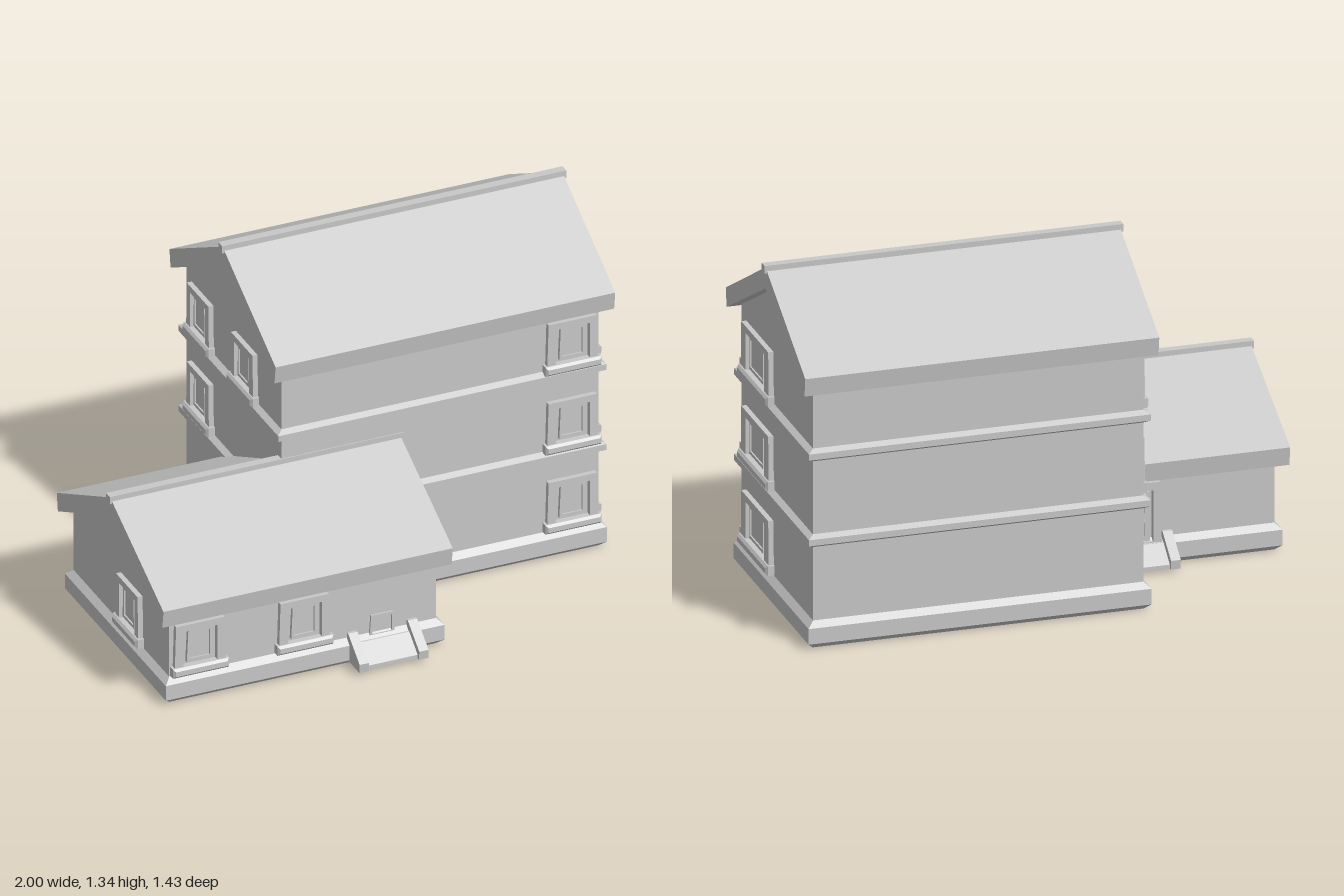
import * as THREE from 'three';

const plaster = new THREE.MeshStandardMaterial({ color: 0xc8c8c8 });
plaster.name = 'grey plaster';

function add(parent, name, geometry, x = 0, y = 0, z = 0) {
  const mesh = new THREE.Mesh(geometry, plaster);
  mesh.name = name;
  mesh.position.set(x, y, z);
  parent.add(mesh);
  return mesh;
}

const polygon = (points) => new THREE.Shape(points.map(([a, b]) => new THREE.Vector2(a, b)));

// Profile given as [z, y] pairs, swept along x from x0 to x1
function sweepX(points, x0, x1) {
  const g = new THREE.ExtrudeGeometry(polygon(points), { depth: x1 - x0, bevelEnabled: false });
  return g.rotateY(-Math.PI / 2).translate(x1, 0, 0);
}

// Chamfered slab around a rectangular plan
function band(b, y0, y1, out, chamfer) {
  const plan = polygon([[b.x0, -b.z1], [b.x1, -b.z1], [b.x1, -b.z0], [b.x0, -b.z0]]);
  const g = new THREE.ExtrudeGeometry(plan, {
    depth: y1 - y0 - 2 * chamfer, bevelThickness: chamfer, bevelSize: out, bevelSegments: 1,
  });
  return g.rotateX(-Math.PI / 2).translate(0, y0 + chamfer, 0);
}

// Rectangular ring standing in the xy plane, from z = 0 forwards
function ring(w, h, innerW, innerH, innerY, depth) {
  const s = polygon([[-w / 2, 0], [w / 2, 0], [w / 2 - 0.006, h], [-w / 2 + 0.006, h]]);
  const a = innerW / 2;
  s.holes.push(new THREE.Path([[-a, innerY], [-a, innerY + innerH], [a, innerY + innerH], [a, innerY]]
    .map(([x, y]) => new THREE.Vector2(x, y))));
  return new THREE.ExtrudeGeometry(s, { depth, bevelEnabled: false });
}

// Window facing +z with its lower edge at the origin
function makeWindow(w) {
  const g = new THREE.Group();
  g.name = 'window';
  add(g, 'windowFrame', ring(w, 0.21, w * 0.66, 0.145, 0.038, 0.02));
  add(g, 'windowSash', ring(w * 0.5, 0.13, w * 0.5 - 0.022, 0.106, 0.012, 0.014), 0, 0.052, 0);
  add(g, 'windowPane', new THREE.BoxGeometry(w * 0.5 - 0.02, 0.11, 0.008), 0, 0.117, 0.004);
  const sill = new THREE.ExtrudeGeometry(
    polygon([[-w / 2, 0.01], [w / 2, 0.01], [w / 2, 0.03], [-w / 2, 0.03]]),
    { depth: 0.025, bevelThickness: 0.009, bevelSize: 0.009, bevelSegments: 1 });
  add(g, 'windowSill', sill);
  return g;
}

// Short sloping steps facing +z between two cheek walls
function makeSteps() {
  const g = new THREE.Group();
  g.name = 'entranceSteps';
  const cheek = [[-0.01, 0.015], [0.112, 0.015], [0.115, 0.05], [0.012, 0.127], [-0.01, 0.127]];
  add(g, 'rightCheek', sweepX(cheek, -0.137, -0.1));
  add(g, 'leftCheek', sweepX(cheek, 0.1, 0.137));
  add(g, 'stepRamp', sweepX([[-0.01, 0.015], [0.1, 0.015], [0.1, 0.03], [0.025, 0.088], [-0.01, 0.088]], -0.1, 0.1));
  return g;
}

// Wing with gabled walls, plinth, overhanging roof and ridge cap
function makeWing(name, b) {
  const g = new THREE.Group();
  g.name = name;
  const mid = (b.z0 + b.z1) / 2;
  const half = (b.z1 - b.z0) / 2;
  const slope = (b.under - b.eave) / (half + 0.04);
  const shoulder = b.under - slope * half;
  add(g, 'walls', sweepX([[b.z0, 0.01], [b.z1, 0.01], [b.z1, shoulder], [mid, b.under], [b.z0, shoulder]], b.x0, b.x1));
  add(g, 'plinth', band(b, 0, 0.105, 0.024, 0.022));
  const e = half + 0.04;
  add(g, 'roof', sweepX([
    [mid - e, b.eave], [mid, b.under], [mid + e, b.eave],
    [mid + e + 0.01, b.eave + 0.072], [mid, b.ridge], [mid - e - 0.01, b.eave + 0.072],
  ], b.x0 - 0.045, b.x1 + 0.045));
  add(g, 'ridgeCap', new THREE.BoxGeometry(b.x1 - b.x0 + 0.108, 0.03, 0.034),
    (b.x0 + b.x1) / 2, b.ridge - 0.003, mid);
  return g;
}

export function createModel() {
  const house = new THREE.Group();
  house.name = 'house';

  const tall = { x0: -0.32, x1: 0.94, z0: -0.66, z1: 0.19, eave: 1.0, under: 1.247, ridge: 1.33 };
  const low = { x0: -0.95, x1: 0.11, z0: -0.25, z1: 0.605, eave: 0.34, under: 0.565, ridge: 0.642 };
  const tower = makeWing('mainBlock', tall);
  const annex = makeWing('annex', low);
  house.add(tower, annex);

  // Storey bands
  add(tower, 'lowerBand', band(tall, 0.392, 0.442, 0.022, 0.013));
  add(tower, 'upperBand', band(tall, 0.727, 0.777, 0.022, 0.013));

  const place = (parent, part, x, y, z, turn) => {
    part.position.set(x, y, z);
    part.rotation.y = turn;
    parent.add(part);
  };
  const right = Math.PI / 2;

  // Corner windows on each floor
  for (let floor = 0; floor < 3; floor++) {
    const y = 0.107 + floor * 0.33;
    place(tower, makeWindow(0.335), tall.x1, y, -0.027, right);
    place(tower, makeWindow(0.205), 0.83, y, tall.z1, 0);
  }
  // Windows on the side above the annex
  for (const [y, z] of [[0.437, -0.515], [0.767, -0.515], [0.767, -0.12]]) {
    place(tower, makeWindow(0.205), tall.x0, y, z, -right);
  }
  // Annex windows
  for (const x of [-0.835, -0.42]) place(annex, makeWindow(0.205), x, 0.107, low.z1, 0);
  place(annex, makeWindow(0.205), low.x0, 0.107, 0.27, -right);

  // Front entrance
  place(annex, makeSteps(), -0.107, 0, low.z1, 0);
  add(annex, 'frontDoorPanel', ring(0.1, 0.088, 0.076, 0.066, 0.01, 0.008), -0.107, 0.09, low.z1);

  // Back entrance
  place(annex, makeSteps(), -0.42, 0, low.z0, Math.PI);
  const door = new THREE.Group();
  door.name = 'backDoor';
  add(door, 'doorFrame', ring(0.19, 0.235, 0.125, 0.2, 0.004, 0.02));
  add(door, 'doorLeaf', new THREE.BoxGeometry(0.105, 0.195, 0.014), 0, 0.1, 0.004);
  add(door, 'upperDoorPanel', ring(0.08, 0.085, 0.06, 0.065, 0.01, 0.006), 0, 0.105, 0.01);
  add(door, 'lowerDoorPanel', ring(0.08, 0.075, 0.06, 0.055, 0.01, 0.006), 0, 0.015, 0.01);
  place(annex, door, -0.42, 0.09, low.z0, Math.PI);

  return house;
}
